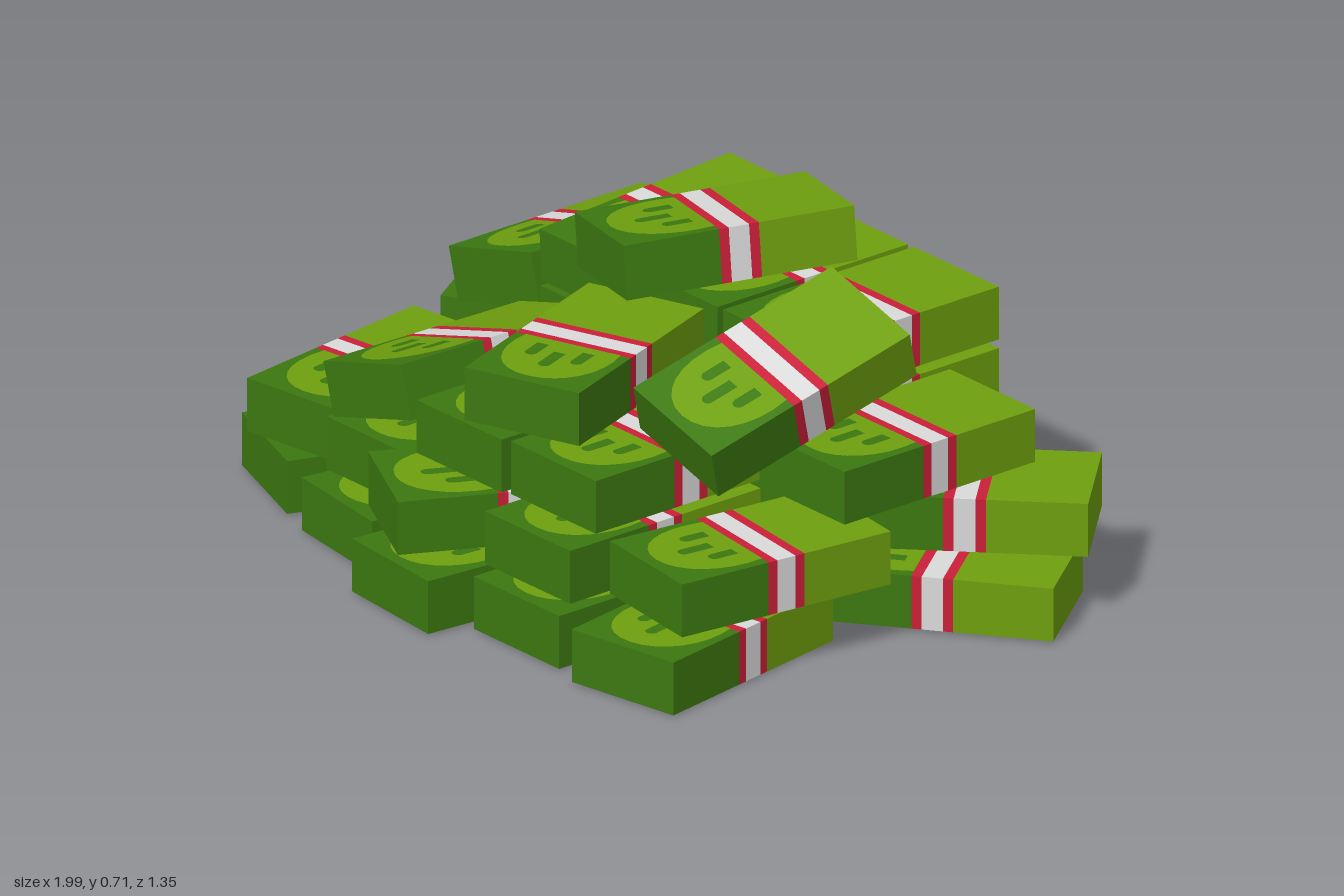
import * as THREE from 'three';

const W = 0.277, H = 0.12, L = 0.52;
const mat = (name, color) => {
  const m = new THREE.MeshStandardMaterial({ color });
  m.name = name;
  return m;
};

export function createModel() {
  const lightGreen = mat('lightGreen', 0x6e9f0e);
  const darkGreen = mat('darkGreen', 0x3c7810);
  const red = mat('bandRed', 0xca1f38);
  const white = mat('bandWhite', 0xdadada);

  // Bundle slices from back to front: [name, z start, z end, material]
  const slices = [
    ['backHalf', -L / 2, -0.045, lightGreen],
    ['bandEdgeBack', -0.045, -0.023, red],
    ['bandCentre', -0.023, 0.023, white],
    ['bandEdgeFront', 0.023, 0.045, red],
    ['frontHalf', 0.045, L / 2, darkGreen],
  ].map(([name, a, b, m]) => {
    const g = new THREE.BoxGeometry(W, H, b - a);
    g.translate(0, 0, (a + b) / 2);
    return [name, g, m];
  });

  // Printed half-oval and three drop marks, drawn in x / length and laid flat
  const oval = new THREE.Shape();
  oval.moveTo(-0.115, 0.045);
  oval.lineTo(0.115, 0.045);
  oval.bezierCurveTo(0.135, 0.15, 0.085, 0.235, 0, 0.235);
  oval.bezierCurveTo(-0.085, 0.235, -0.135, 0.15, -0.115, 0.045);
  const drops = [[-0.055, 0.075, 0.125], [0, 0.1, 0.165], [0.055, 0.075, 0.125]].map(([x, a, b]) => {
    const s = new THREE.Shape();
    s.moveTo(x - 0.014, a);
    s.lineTo(x + 0.014, a);
    s.lineTo(x + 0.014, b);
    s.absarc(x, b, 0.014, 0, Math.PI, false);
    return s;
  });
  const flat = (shape, lift) => {
    const g = new THREE.ShapeGeometry(shape, 8);
    g.rotateX(Math.PI / 2); // faces down, length runs toward +z
    g.translate(0, -H / 2 - lift, 0);
    return g;
  };
  const ovalGeo = flat(oval, 0.0015);
  const dropGeo = flat(drops, 0.003);

  const model = new THREE.Group();
  model.name = 'banknotePile';

  const addBundle = (x, y, z, yaw = 0, pitch = 0, roll = 0) => {
    const bundle = new THREE.Group();
    bundle.name = 'noteBundle';
    const add = (name, geo, m) => {
      const mesh = new THREE.Mesh(geo, m);
      mesh.name = name;
      bundle.add(mesh);
      return mesh;
    };
    for (const [name, geo, m] of slices) add(name, geo, m);
    for (const turn of [0, Math.PI]) {
      add('printedOval', ovalGeo, lightGreen).rotation.z = turn;
      add('printedDrops', dropGeo, darkGreen).rotation.z = turn;
    }
    const d = THREE.MathUtils.degToRad;
    bundle.position.set(x, y, z);
    bundle.rotation.set(d(pitch), d(yaw), d(roll), 'YXZ');
    model.add(bundle);
  };

  // Flat layers, bottom to top: [x, z, yaw]
  const layers = [
    [
      [-0.74, -0.26, -33], [-0.3, -0.36, 9], [0.005, -0.36, 0], [0.3, -0.36, -16], [0.7, -0.26, -53],
      [-0.6, 0.195, -20], [-0.3, 0.28, -8], [0.005, 0.4, -5], [0.3, 0.32, 0], [0.6, 0.324, 10],
    ],
    [
      [-0.63, -0.37, -58], [-0.3, -0.36, 0], [0.005, -0.36, 0], [0.3, -0.36, 0], [0.66, -0.36, -46],
      [-0.6, 0.2, 8], [-0.3, 0.22, 0], [0.003, 0.365, -27], [0.3, 0.29, 0], [0.62, 0.21, -7],
    ],
    [
      [-0.295, -0.36, 0], [0.005, -0.42, 0], [0.3, -0.36, 0], [0.597, -0.21, 0],
      [0.005, 0.23, 0], [0.3, 0.22, 0],
    ],
    [[0.005, -0.36, 0], [0.3, -0.36, 0], [0.09, 0.22, 20]],
  ];
  layers.forEach((layer, i) => {
    for (const [x, z, yaw] of layer) addBundle(x, H / 2 + i * 0.14, z, yaw);
  });

  // Tilted bundles leaning on the pile
  addBundle(-0.583, 0.37, -0.36, 0, 0, 15);
  addBundle(-0.29, 0.365, 0.225, -2, 0, 17);
  addBundle(-0.295, 0.485, -0.36, 0, 3.4, 0);
  addBundle(-0.005, 0.62, -0.22, -18, 1, 6.5);
  addBundle(0.515, 0.535, 0.055, -7, 18, -14);

  return model;
}
